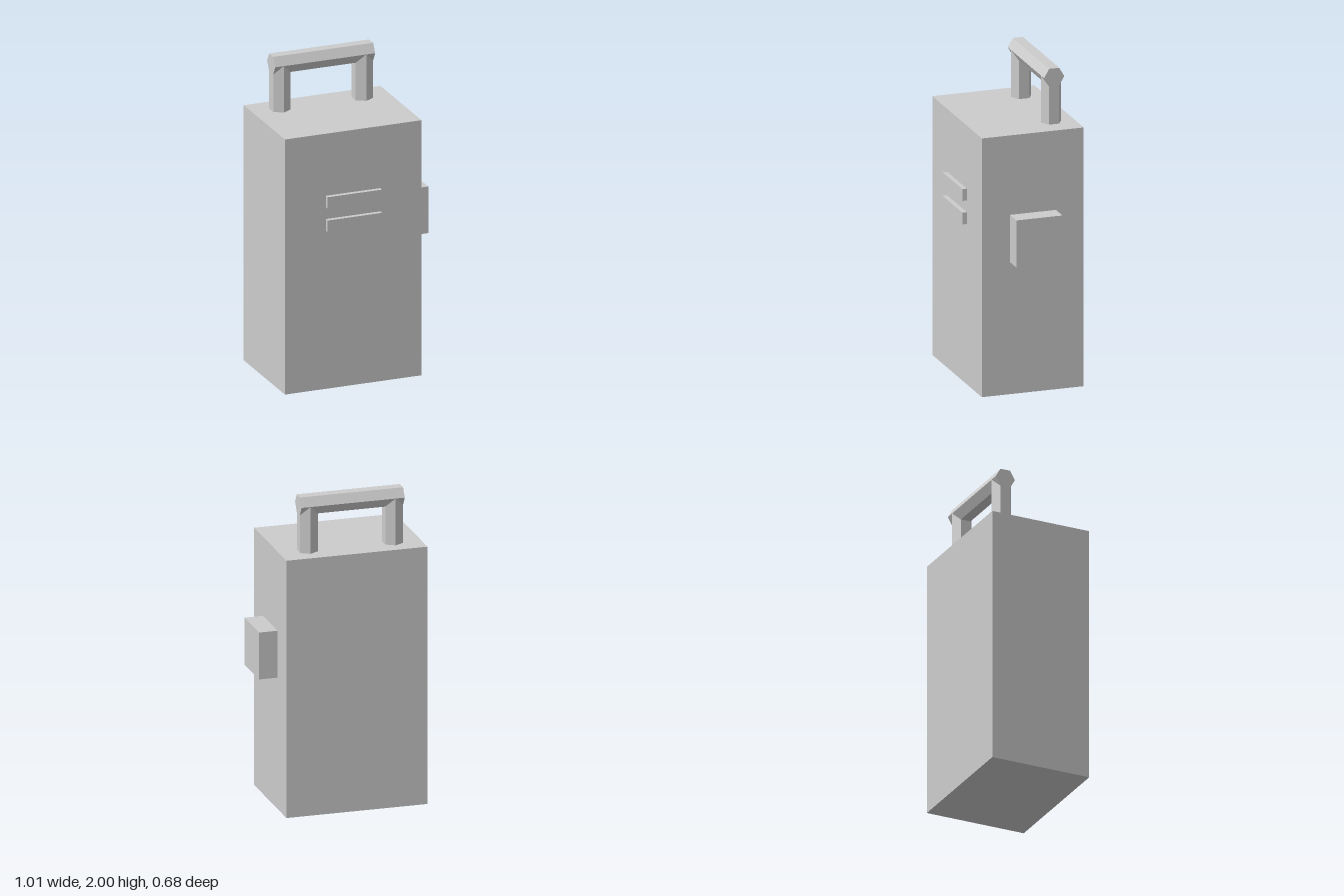
import * as THREE from 'three';

export function createModel() {
  const group = new THREE.Group();
  const grey = new THREE.MeshStandardMaterial({ color: 0xcccccc });
  grey.name = 'light grey';
  grey.flatShading = true;

  const add = (name, geometry, x, y, z) => {
    const mesh = new THREE.Mesh(geometry, grey);
    mesh.name = name;
    mesh.position.set(x, y, z);
    group.add(mesh);
    return mesh;
  };

  // Box given by its lower and upper corners
  const box = (name, [x0, y0, z0], [x1, y1, z1]) =>
    add(name, new THREE.BoxGeometry(x1 - x0, y1 - y0, z1 - z0),
      (x0 + x1) / 2, (y0 + y1) / 2, (z0 + z1) / 2);

  // Main case and the block on its side
  box('case', [-0.508, 0, -0.342], [0.387, 1.645, 0.313]);
  box('sideBlock', [0.387, 0.84, -0.163], [0.505, 1.14, 0.133]);

  // Two raised slats on the front
  for (const y of [1.02, 1.17]) {
    box('frontSlat', [-0.24, y, 0.313], [0.117, y + 0.075, 0.342]);
  }

  // Six-sided carrying handle: two posts and a crossbar
  const radius = 0.065, barY = 1.944, handleZ = -0.195;
  for (const x of [-0.332, 0.208]) {
    const height = barY - 1.645;
    add('handlePost', new THREE.CylinderGeometry(radius, radius, height, 6),
      x, barY - height / 2, handleZ);
  }
  const bar = add('handleBar', new THREE.CylinderGeometry(radius, radius, 0.655, 6),
    -0.0615, barY, handleZ);
  bar.rotation.z = Math.PI / 2;

  return group;
}
